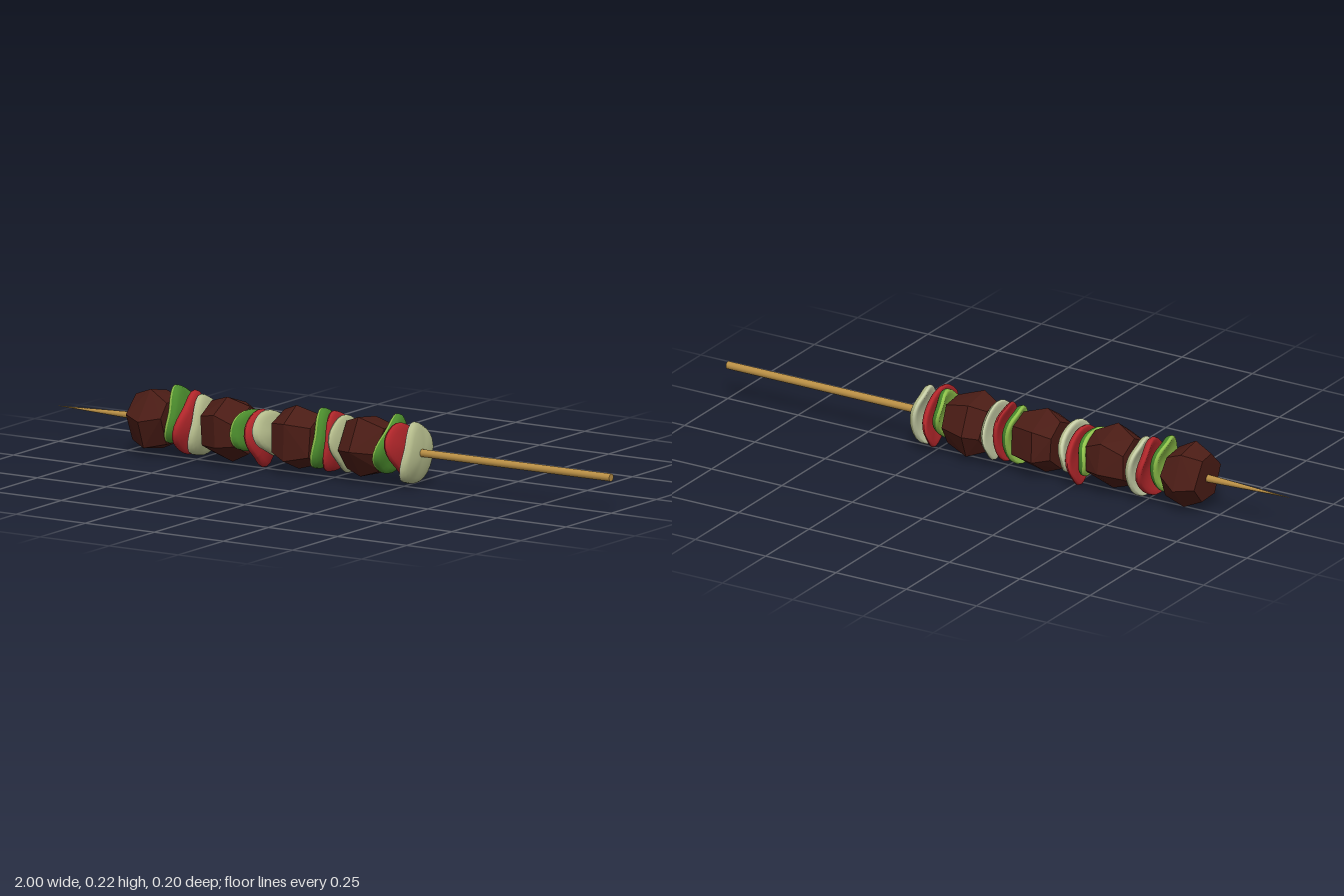
import * as THREE from 'three';
import { ConvexGeometry } from 'three/addons/geometries/ConvexGeometry.js';

const AXIS_Y = 0.106;
const mat = (color, extra = {}) => new THREE.MeshStandardMaterial({ color, ...extra });
const wood = mat(0xb98f45);
const meat = mat(0x4a1c15, { flatShading: true });
const skins = {
  pepper: [mat(0x4a8a2c, { side: THREE.DoubleSide }), mat(0x8fc04a, { side: THREE.DoubleSide })],
  tomato: [mat(0xb0262a, { side: THREE.DoubleSide }), mat(0xb0262a, { side: THREE.DoubleSide })],
  onion: [mat(0xb4bb8b, { side: THREE.DoubleSide }), mat(0xc6cda6, { side: THREE.DoubleSide })],
};

function add(parent, name, geometry, material) {
  const mesh = new THREE.Mesh(geometry, material);
  mesh.name = name;
  parent.add(mesh);
  return mesh;
}

// Small seeded generator for the uneven cuts
function seeded(seed) {
  let s = seed;
  return () => (s = (s * 16807) % 2147483647) / 2147483647;
}

// Faceted chunk: hull of three uneven six-sided rings along x
function chunkGeometry(x0, x1, peak, turn, seed) {
  const rnd = seeded(seed);
  const points = [];
  const rings = [[x0, 0.077], [x0 + (x1 - x0) * peak, 0.101], [x1, 0.077]];
  for (const [x, r] of rings) {
    for (let i = 0; i < 6; i++) {
      const a = turn + (i + 0.35 * (rnd() - 0.5)) * Math.PI / 3;
      const rr = r * (0.95 + 0.1 * rnd());
      points.push(new THREE.Vector3(x + 0.012 * (rnd() - 0.5), rr * Math.cos(a), rr * Math.sin(a)));
    }
  }
  return new ConvexGeometry(points);
}

// One face of a slice: lathed profile stretched to an oblong, then bowed towards +x
function sliceFace(profile, halfLong, halfShort, bow) {
  const g = new THREE.LatheGeometry(profile.map(([r, h]) => new THREE.Vector2(r, h)), 28);
  g.rotateZ(-Math.PI / 2);
  const p = g.attributes.position;
  for (let i = 0; i < p.count; i++) {
    const u = p.getY(i), v = p.getZ(i);
    const a = Math.atan2(v, u);
    // slightly squared, uneven outline
    const k = 1 + 0.05 * Math.cos(4 * a + Math.PI) + 0.03 * Math.sin(3 * a);
    p.setXYZ(i, p.getX(i) - bow * (u * u + 0.35 * v * v), u * k * halfLong, v * k * halfShort);
  }
  g.computeVertexNormals();
  return g;
}

function slice(kind, x0, x1, halfLong, halfShort, roll, y, z) {
  const g = new THREE.Group();
  g.name = kind + 'Slice';
  const width = x1 - x0;
  const t = Math.min(0.014, width * 0.24);
  const bow = width - 2 * t;
  const outer = [[1, 0], [0.985, t * 0.55], [0.93, t * 0.9], [0.8, t], [0.6, t], [0.4, t], [0.2, t], [0, t]];
  const inner = [[0, -t], [0.2, -t], [0.4, -t], [0.6, -t], [0.8, -t], [0.93, -t * 0.9], [0.985, -t * 0.55], [1, 0]];
  add(g, kind + 'Skin', sliceFace(outer, halfLong, halfShort, bow), skins[kind][0]);
  add(g, kind + 'Flesh', sliceFace(inner, halfLong, halfShort, bow), skins[kind][1]);
  g.position.set(x1 - t, y, z);
  g.rotation.x = roll;
  return g;
}

export function createModel() {
  const model = new THREE.Group();
  model.name = 'kebabSkewer';

  // Stick with a long sharpened point at -x
  const stick = new THREE.Group();
  stick.name = 'stick';
  stick.position.y = AXIS_Y;
  stick.rotation.z = -Math.PI / 2;
  add(stick, 'shaft', new THREE.CylinderGeometry(0.012, 0.012, 1.7, 16), wood).position.y = 0.15;
  add(stick, 'point', new THREE.CylinderGeometry(0.012, 0.0005, 0.3, 16), wood).position.y = -0.85;
  model.add(stick);

  // Meat: start, end, position of the widest ring, turn, seed
  const chunks = [
    [-0.705, -0.585, 0.5, 0.45, 11],
    [-0.445, -0.31, 0.5, 0.1, 57],
    [-0.19, -0.05, 0.4, 0.0, 203],
    [0.06, 0.195, 0.4, 0.5, 911],
  ];
  for (const [x0, x1, peak, turn, seed] of chunks) {
    add(model, 'meatChunk', chunkGeometry(x0, x1, peak, turn, seed), meat).position.y = AXIS_Y;
  }

  // Vegetables: kind, start, end, half length, half width, roll, y, z
  const slices = [
    ['pepper', -0.595, -0.535, 0.093, 0.07, -0.3, 0.125, -0.008],
    ['tomato', -0.54, -0.49, 0.1, 0.085, -0.8, 0.106, -0.003],
    ['onion', -0.505, -0.455, 0.097, 0.077, -0.35, 0.1, -0.012],
    ['pepper', -0.33, -0.272, 0.095, 0.067, 1.45, 0.108, 0],
    ['tomato', -0.28, -0.238, 0.095, 0.08, 0.8, 0.09, 0],
    ['onion', -0.248, -0.2, 0.09, 0.067, 1.1, 0.11, 0.006],
    ['pepper', -0.068, -0.012, 0.097, 0.07, -0.3, 0.108, -0.012],
    ['tomato', -0.016, 0.022, 0.097, 0.07, -0.2, 0.106, -0.005],
    ['onion', 0.026, 0.06, 0.095, 0.08, 0.8, 0.106, 0],
    ['pepper', 0.182, 0.238, 0.1, 0.072, -0.9, 0.12, -0.003],
    ['tomato', 0.23, 0.27, 0.103, 0.072, 0.85, 0.108, 0],
    ['onion', 0.265, 0.316, 0.098, 0.074, -0.38, 0.1, -0.006],
  ];
  for (const s of slices) model.add(slice(...s));

  return model;
}
